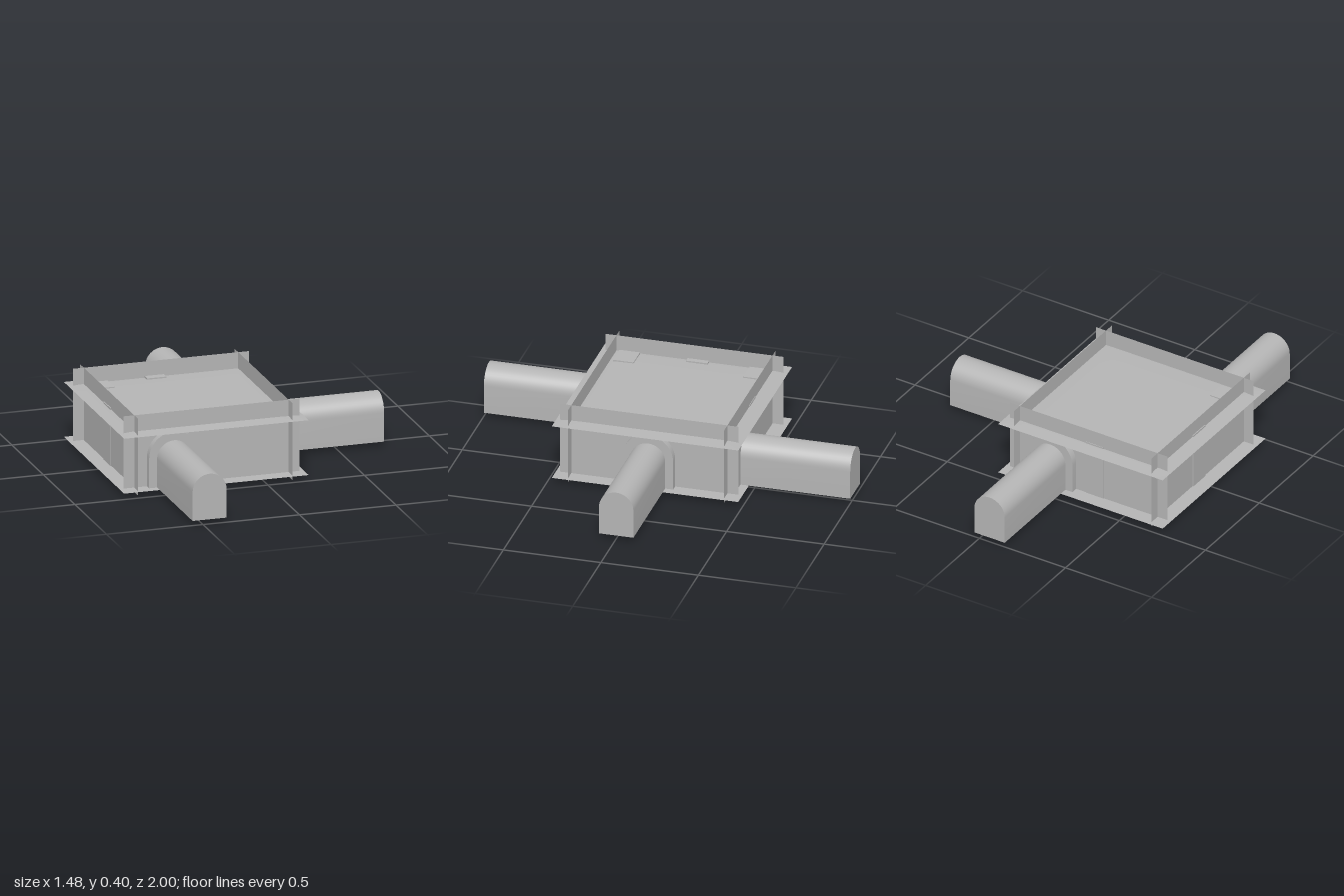
import * as THREE from 'three';
import { toCreasedNormals } from 'three/addons/utils/BufferGeometryUtils.js';

const WALL = 0.4;        // wall distance from the room centre
const WALL_HALF = 0.457; // half width of the wall sheets
const SLAB_HALF = 0.478; // half width of floor and ceiling
const FLOOR_Y = 0.023;

// Round-topped doorway outline standing on the floor
function arch(Curve, x, halfWidth, top) {
  const p = new Curve();
  p.moveTo(x - halfWidth, FLOOR_Y);
  p.lineTo(x + halfWidth, FLOOR_Y);
  p.lineTo(x + halfWidth, top - halfWidth);
  p.absarc(x, top - halfWidth, halfWidth, 0, Math.PI, false);
  p.lineTo(x - halfWidth, FLOOR_Y);
  return p;
}

function extrude(shape, from, to) {
  const g = new THREE.ExtrudeGeometry(shape, { depth: to - from, bevelEnabled: false, curveSegments: 10 });
  g.translate(0, 0, from);
  return toCreasedNormals(g, 0.6);
}

export function createModel() {
  const stone = new THREE.MeshStandardMaterial({ color: 0xb4b4b4, side: THREE.DoubleSide });
  stone.name = 'grey stone';
  const model = new THREE.Group();
  const room = new THREE.Group();
  room.name = 'room';
  room.position.x = -0.26;
  model.add(room);

  const add = (parent, name, geometry) => {
    const mesh = new THREE.Mesh(geometry, stone);
    mesh.name = name;
    parent.add(mesh);
    return mesh;
  };

  // Floor sheet
  const floor = new THREE.PlaneGeometry(SLAB_HALF * 2, SLAB_HALF * 2);
  floor.rotateX(-Math.PI / 2);
  add(room, 'floor', floor).position.y = FLOOR_Y;

  // Ceiling sheet, drooping slightly at its rim
  const ceiling = new THREE.PlaneGeometry(SLAB_HALF * 2, SLAB_HALF * 2, 16, 16);
  ceiling.rotateX(-Math.PI / 2);
  const pos = ceiling.attributes.position;
  for (let i = 0; i < pos.count; i++) {
    const rim = Math.max(Math.abs(pos.getX(i)), Math.abs(pos.getZ(i))) / SLAB_HALF;
    pos.setY(i, 0.317 - 0.01 * rim ** 6);
  }
  ceiling.computeVertexNormals();
  add(room, 'ceiling', ceiling);

  // Four crossing wall sheets; three have a doorway with a frame and a tunnel
  const sides = [
    { name: 'front', turn: 0, door: -0.205 },
    { name: 'left', turn: Math.PI / 2, door: 0.003 },
    { name: 'back', turn: Math.PI, door: -0.202 },
    { name: 'right', turn: -Math.PI / 2, door: null },
  ];
  for (const { name, turn, door } of sides) {
    const side = new THREE.Group();
    side.name = name + 'Side';
    side.rotation.y = turn;
    room.add(side);

    const sheet = new THREE.Shape();
    sheet.moveTo(-WALL_HALF, 0);
    sheet.lineTo(WALL_HALF, 0);
    sheet.lineTo(WALL_HALF, 0.397);
    sheet.lineTo(-WALL_HALF, 0.397);
    sheet.closePath();
    if (door !== null) {
      sheet.holes.push(arch(THREE.Path, door, 0.085, 0.257));
      const frame = arch(THREE.Shape, door, 0.129, 0.305);
      // Frame legs and arch as one open ring
      const ring = new THREE.Shape();
      ring.moveTo(door - 0.129, FLOOR_Y);
      ring.lineTo(door - 0.085, FLOOR_Y);
      ring.lineTo(door - 0.085, 0.172);
      ring.absarc(door, 0.172, 0.085, Math.PI, 0, true);
      ring.lineTo(door + 0.085, FLOOR_Y);
      ring.lineTo(door + 0.129, FLOOR_Y);
      ring.lineTo(door + 0.129, 0.176);
      ring.absarc(door, 0.176, 0.129, 0, Math.PI, false);
      ring.closePath();
      add(side, 'doorFrame', extrude(ring, WALL - 0.04, WALL + 0.035));
      add(side, 'tunnel', extrude(arch(THREE.Shape, door, 0.088, 0.259), WALL, 0.998));
    }
    add(side, 'wall', new THREE.ShapeGeometry(sheet, 10)).position.z = WALL;
  }

  // Pillars whose tops just break through the ceiling: x, z, width, depth
  const pillars = [
    [-0.337, -0.337, 0.115, 0.105],
    [-0.337, 0.33, 0.115, 0.105],
    [-0.035, -0.381, 0.1, 0.044],
    [-0.388, -0.02, 0.034, 0.11],
  ];
  for (const [x, z, w, d] of pillars) {
    const height = 0.322 - FLOOR_Y;
    add(room, 'pillar', new THREE.BoxGeometry(w, height, d)).position.set(x, FLOOR_Y + height / 2, z);
  }
  return model;
}
